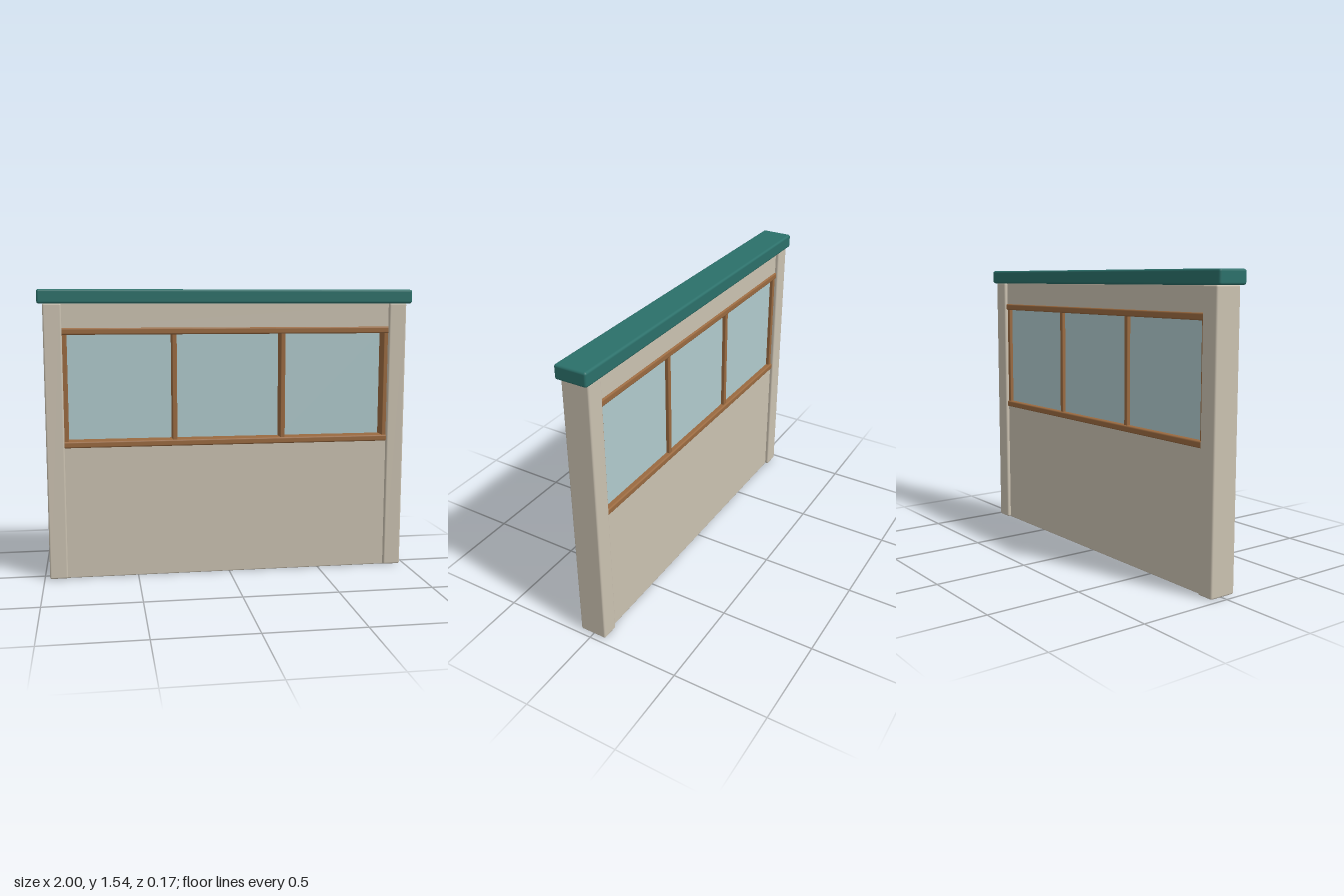
import * as THREE from 'three';
import { RoundedBoxGeometry } from 'three/addons/geometries/RoundedBoxGeometry.js';

const material = (name, color) => {
  const m = new THREE.MeshStandardMaterial({ color });
  m.name = name;
  return m;
};

export function createModel() {
  const group = new THREE.Group();
  group.name = 'windowWall';

  const plaster = material('plaster', 0xcbc2b1);
  const wood = material('wood', 0x9a6a40);
  const glass = material('glass', 0xb0cacd);
  const teal = material('teal', 0x2b706a);

  // Soft-edged block given by its extents on each axis
  const block = (name, mat, [x0, x1], [y0, y1], [z0, z1], radius) => {
    const size = [x1 - x0, y1 - y0, z1 - z0];
    const geometry = radius
      ? new RoundedBoxGeometry(...size, 2, radius)
      : new THREE.BoxGeometry(...size);
    const mesh = new THREE.Mesh(geometry, mat);
    mesh.name = name;
    mesh.position.set((x0 + x1) / 2, (y0 + y1) / 2, (z0 + z1) / 2);
    group.add(mesh);
  };

  // Wall: solid below the window and a lintel band above it
  const wallZ = [-0.055, 0.055];
  block('lowerWall', plaster, [-0.89, 0.89], [0, 0.715], wallZ, 0.006);
  block('upperWall', plaster, [-0.89, 0.89], [1.33, 1.465], wallZ, 0.006);

  // End posts and window stiles, mirrored
  for (const side of [-1, 1]) {
    const span = (a, b) => (side > 0 ? [a, b] : [-b, -a]);
    const label = side > 0 ? 'left' : 'right';
    block(label + 'Post', plaster, span(0.877, 0.972), [0.003, 1.464], [-0.074, 0.074], 0.009);
    block(label + 'Stile', wood, span(0.855, 0.88), [0.735, 1.305], wallZ, 0.004);
    block(label + 'Mullion', wood, span(0.281, 0.306), [0.735, 1.305], wallZ, 0.004);
  }

  // Sill and head rails stand slightly proud of the wall
  block('sillRail', wood, [-0.882, 0.882], [0.708, 0.742], [-0.064, 0.064], 0.008);
  block('headRail', wood, [-0.882, 0.882], [1.302, 1.337], [-0.064, 0.064], 0.008);

  // Three panes set towards the back of the frame
  for (const [i, x] of [-0.58, 0, 0.58].entries()) {
    block('pane' + (i + 1), glass, [x - 0.283, x + 0.283], [0.738, 1.306], [-0.036, -0.024], 0);
  }

  // Overhanging coping
  block('coping', teal, [-1, 1], [1.462, 1.536], [-0.085, 0.085], 0.012);

  return group;
}
